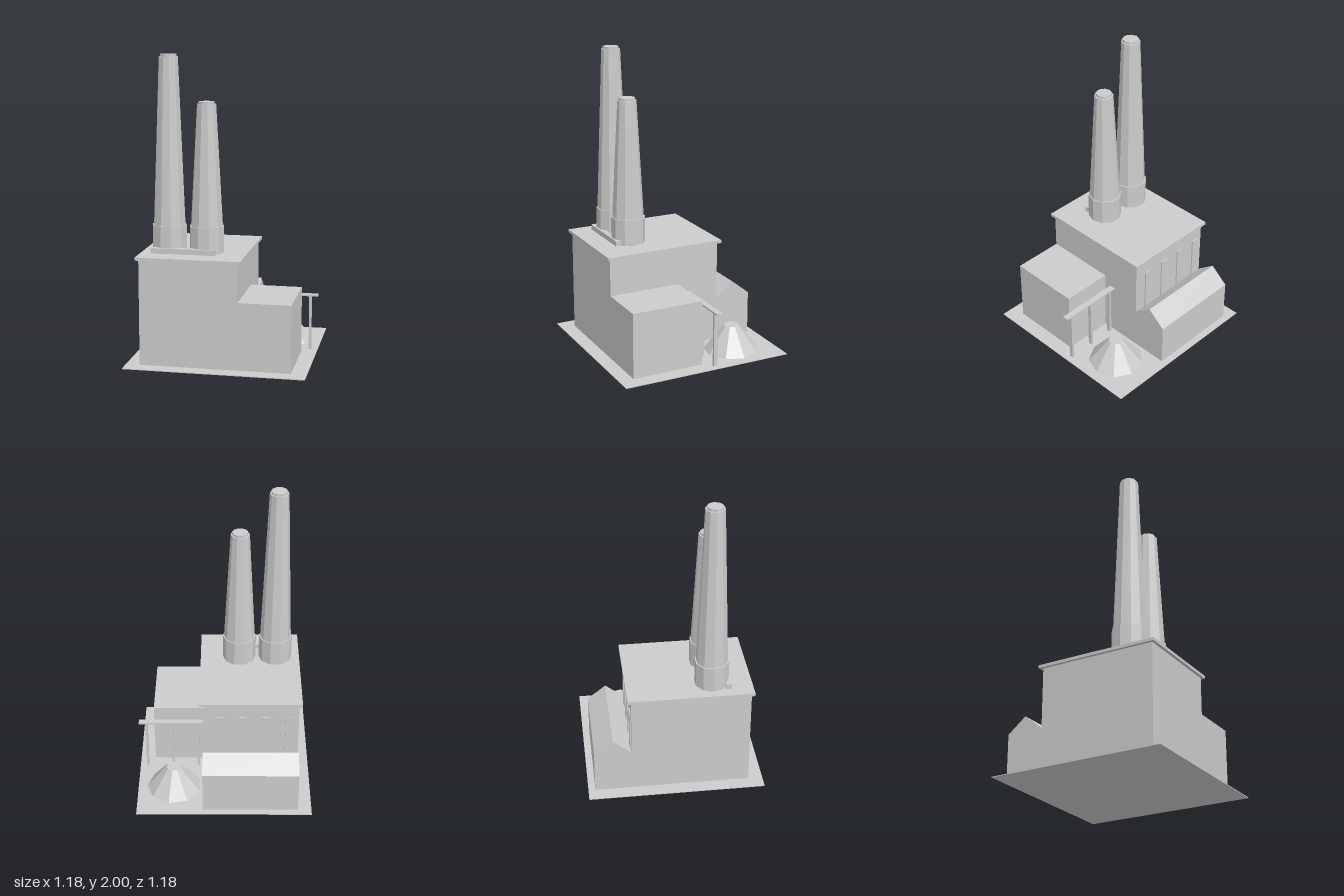
import * as THREE from 'three';

export function createModel() {
  const model = new THREE.Group();
  model.name = 'powerStation';
  const concrete = new THREE.MeshStandardMaterial({ color: 0xcccccc });
  concrete.name = 'concrete grey';

  // Adds a faceted mesh
  function add(name, geometry, parent = model) {
    const flat = geometry.index ? geometry.toNonIndexed() : geometry;
    flat.computeVertexNormals();
    const mesh = new THREE.Mesh(flat, concrete);
    mesh.name = name;
    parent.add(mesh);
    return mesh;
  }

  // Box given by its limits on each axis
  function box(name, x0, x1, y0, y1, z0, z1, parent) {
    const mesh = add(name, new THREE.BoxGeometry(x1 - x0, y1 - y0, z1 - z0), parent);
    mesh.position.set((x0 + x1) / 2, (y0 + y1) / 2, (z0 + z1) / 2);
    return mesh;
  }

  // Tapered prism with a corner pointing along +x
  function prism(name, rTop, rBottom, y0, y1, sides, parent) {
    const g = new THREE.CylinderGeometry(rTop, rBottom, y1 - y0, sides, 1, false, Math.PI / 2);
    const mesh = add(name, g, parent);
    mesh.position.y = (y0 + y1) / 2;
    return mesh;
  }

  // Ground and main buildings
  box('groundSlab', -0.592, 0.592, 0, 0.005, -0.592, 0.592);
  box('mainHall', -0.5, 0.145, 0, 0.7, -0.295, 0.495);
  box('hallRoof', -0.52, 0.165, 0.7, 0.72, -0.318, 0.515);
  box('sideAnnex', 0.145, 0.49, 0, 0.45, 0, 0.495);

  // Gabled shed along the back wall: profile in (-z, y), extruded along x
  const gable = new THREE.Shape([
    new THREE.Vector2(0.295, 0),
    new THREE.Vector2(0.545, 0),
    new THREE.Vector2(0.545, 0.3),
    new THREE.Vector2(0.42, 0.4),
    new THREE.Vector2(0.295, 0.3),
  ]);
  const shed = add('backShed', new THREE.ExtrudeGeometry(gable, { depth: 0.645, bevelEnabled: false }));
  shed.rotation.y = Math.PI / 2;
  shed.position.x = -0.5;

  // Tall windows above the shed
  for (const x of [0.035, -0.122, -0.279, -0.436]) {
    box('backWindow', x - 0.025, x + 0.025, 0.3, 0.6, -0.304, -0.295);
  }

  // Two chimneys and the duct in front of them
  for (const [x, top] of [[-0.352, 2], [-0.103, 1.7]]) {
    const chimney = new THREE.Group();
    chimney.name = 'chimney';
    chimney.position.set(x, 0, 0.25);
    prism('chimneyBase', 0.114, 0.114, 0.72, 0.895, 10, chimney);
    prism('chimneyShaft', 0.063, 0.106, 0.895, top - 0.015, 10, chimney);
    prism('chimneyRim', 0.053, 0.053, top - 0.015, top, 10, chimney);
    model.add(chimney);
  }
  box('roofDuct', -0.45, -0.03, 0.72, 0.755, 0.335, 0.372);

  // Coal heap
  prism('coalHeap', 0.05, 0.19, 0, 0.18, 9).position.set(0.345, 0.09, -0.3);

  // Conveyor on posts
  box('conveyorBeam', 0.14, 0.592, 0.375, 0.387, -0.09, -0.05);
  for (const x of [0.18, 0.36, 0.54]) {
    box('conveyorPost', x - 0.008, x + 0.008, 0, 0.375, -0.083, -0.057);
  }

  return model;
}
